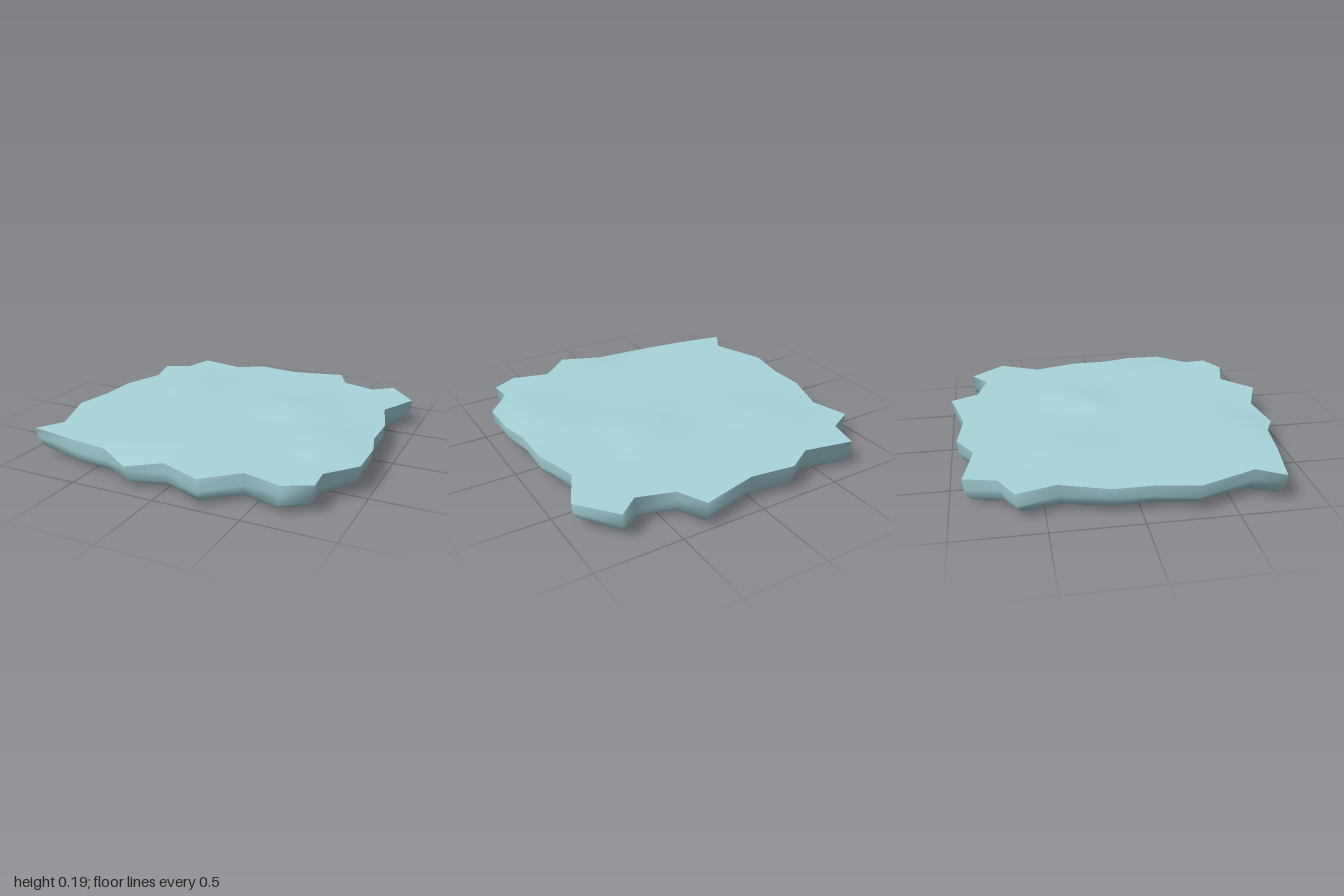
import * as THREE from 'three';
import { mergeVertices } from 'three/addons/utils/BufferGeometryUtils.js';

// Ragged outline of the slab as [x, z], clockwise seen from above
const OUTLINE = [
  [-0.68, -0.92], [-0.39, -0.86], [-0.23, -0.955], [0.03, -0.92], [0.36, -1], [0.44, -0.835],
  [0.65, -0.77], [0.77, -0.865], [0.945, -0.655], [0.83, -0.41], [0.905, -0.14], [0.905, 0.09],
  [0.945, 0.255], [0.945, 0.49], [0.8, 0.66], [0.81, 0.8], [0.66, 0.88], [0.44, 0.82],
  [0.255, 0.99], [0.01, 0.89], [-0.2, 0.95], [-0.38, 0.86], [-0.615, 0.83], [-0.92, 0.775],
  [-0.83, 0.625], [-0.95, 0.3], [-0.91, 0.06], [-0.91, -0.165], [-0.82, -0.435],
  [-0.88, -0.655], [-0.725, -0.735],
];

// Gentle bumps and one dip at the front edge: x, z, height, width
const BUMPS = [
  [0.27, -0.19, 0.02, 0.16], [0.72, 0.27, 0.02, 0.16],
  [-0.44, -0.35, 0.01, 0.16], [-0.2, 0.95, -0.035, 0.1],
];

const topHeight = (x, z) => BUMPS.reduce(
  (y, [bx, bz, h, w]) => y + h * Math.exp(-((x - bx) ** 2 + (z - bz) ** 2) / (w * w)), 0.168);

// Underside: shallow keel across the slab, rising toward both sides
const bottomHeight = (x, z) =>
  0.02 - 0.02 * Math.exp(-(((z + 0.19) / 0.25) ** 2)) * Math.min(1, Math.max(0, (0.95 - Math.abs(x)) / 0.25))
  + Math.max(0, Math.abs(x) - 0.7) * 0.12;

// Outline scaled and pulled inward by an inset, at a height given by a rule
function ring(scale, inset, height) {
  return OUTLINE.map(([x, z], i) => {
    const k = scale * (1 - inset / Math.hypot(x, z));
    return [x * k, height(x * k, z * k, i), z * k];
  });
}

// Skin a series of closed rings with smooth normals
function loft(rings) {
  const n = OUTLINE.length;
  const index = [];
  for (let r = 0; r < rings.length - 1; r++) {
    for (let i = 0; i < n; i++) {
      const j = (i + 1) % n, a = r * n, b = a + n;
      index.push(a + j, a + i, b + i, a + j, b + i, b + j);
    }
  }
  const geometry = new THREE.BufferGeometry();
  geometry.setAttribute('position', new THREE.Float32BufferAttribute(rings.flat(2), 3));
  geometry.setIndex(index);
  const merged = mergeVertices(geometry, 1e-5);
  merged.computeVertexNormals();
  return merged;
}

export function createModel() {
  const group = new THREE.Group();
  group.name = 'slab';
  const material = new THREE.MeshStandardMaterial({ color: 0xa8d5db });

  // Upper face, from the rim to the centre
  const topRings = [1, 0.93, 0.8, 0.65, 0.5, 0.35, 0.2, 0].map((s) => ring(s, 0, topHeight));
  const top = new THREE.Mesh(loft(topRings), material);
  top.name = 'topSurface';

  // Underside, rounded lower edge and rim wall, from the bottom centre up
  const bodyRings = [0, 0.3, 0.6, 0.85].map((s) => ring(s, 0.06, bottomHeight));
  bodyRings.push(
    ring(1, 0.06, bottomHeight),
    ring(1, 0.025, (x, z) => bottomHeight(x, z) + 0.03),
    ring(1, 0.008, (x, z, i) => 0.1 + 0.012 * Math.sin(i * 1.7)),
    topRings[0],
  );
  const body = new THREE.Mesh(loft(bodyRings), material);
  body.name = 'rimAndUnderside';

  group.add(top, body);
  return group;
}
